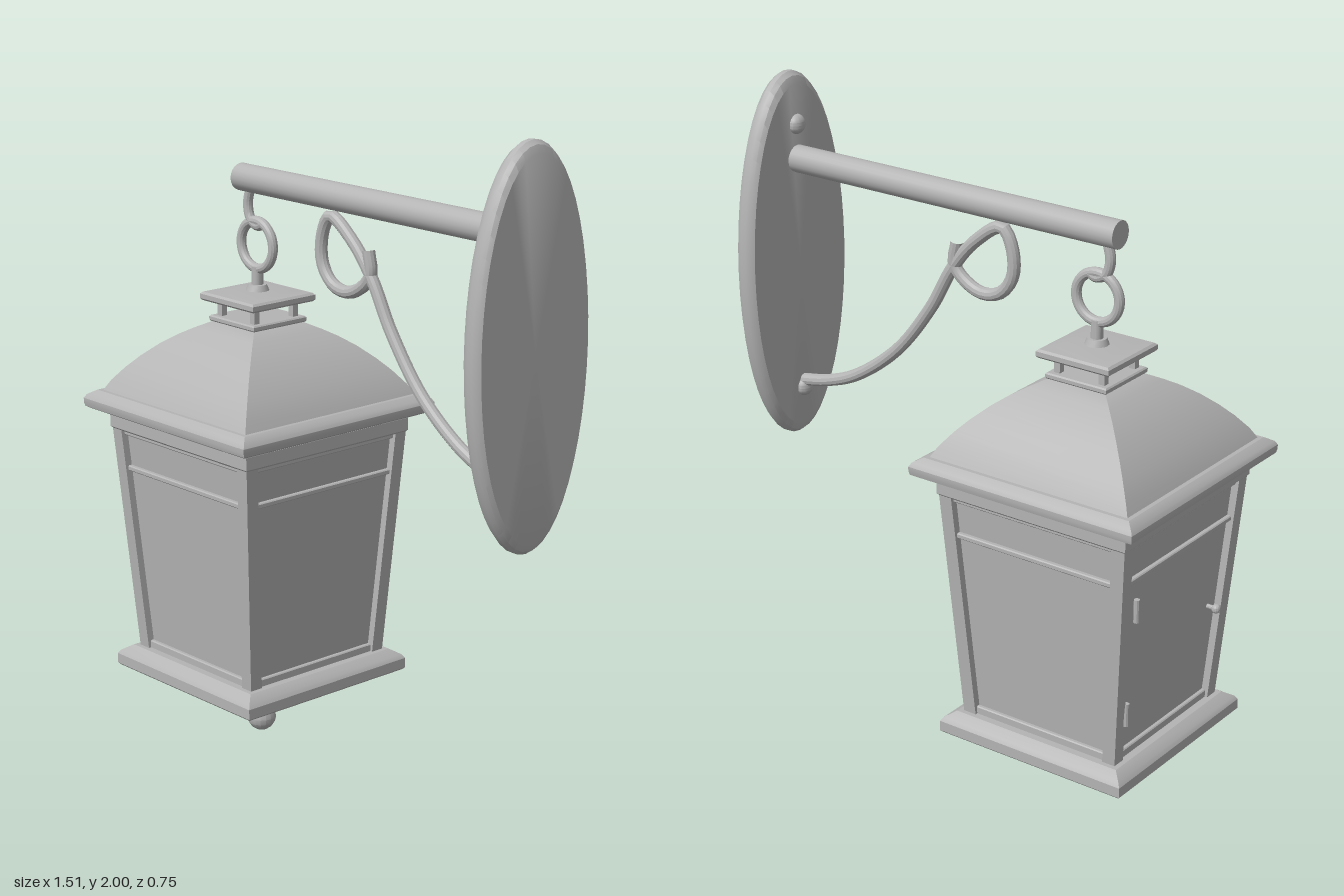
import * as THREE from 'three';
import { toCreasedNormals } from 'three/addons/utils/BufferGeometryUtils.js';

export function createModel() {
  const root = new THREE.Group();
  root.name = 'wallLantern';
  const metal = new THREE.MeshStandardMaterial({ color: 0xb4b4b4 });
  metal.name = 'grey metal';

  function add(parent, name, geometry, x = 0, y = 0, z = 0) {
    const mesh = new THREE.Mesh(toCreasedNormals(geometry, 0.5), metal);
    mesh.name = name;
    mesh.position.set(x, y, z);
    parent.add(mesh);
    return mesh;
  }
  // Square solid from a profile of [half width, height], bottom to top
  function squareLathe(profile) {
    const pts = profile.map(([h, y]) => new THREE.Vector2(h * Math.SQRT2, y));
    return new THREE.LatheGeometry(pts, 4, Math.PI / 4);
  }
  // Square slab with small bevels
  function slab(half, y0, y1, b = 0.006) {
    return squareLathe([[0, y0], [half - b, y0], [half, y0 + b], [half, y1 - b], [half - b, y1], [0, y1]]);
  }
  function tube(points, radius, segments) {
    const curve = new THREE.CatmullRomCurve3(points.map(([x, y, z = 0]) => new THREE.Vector3(x, y, z)));
    return new THREE.TubeGeometry(curve, segments, radius, 12, false);
  }

  // Oval wall plate with rounded rim
  const rim = [[0, 0], [0.94, 0], [0.98, 0.01], [1, 0.025], [1, 0.042], [0.98, 0.056], [0.94, 0.065], [0, 0.065]];
  const plate = new THREE.LatheGeometry(rim.map(([r, h]) => new THREE.Vector2(r, h)), 48);
  plate.rotateZ(-Math.PI / 2);
  plate.scale(1, 0.57, 0.218);
  add(root, 'wallPlate', plate, 0.69, 1.43, 0);
  for (const y of [1.845, 1.015]) {
    const screw = new THREE.SphereGeometry(0.03, 16, 10);
    screw.scale(0.85, 1, 1);
    add(root, 'plateScrew', screw, 0.69, y, 0);
  }

  // Arm and curled brace
  const arm = new THREE.CylinderGeometry(0.041, 0.041, 1.15, 20);
  arm.rotateZ(Math.PI / 2);
  add(root, 'arm', arm, 0.12, 1.74, 0);
  add(root, 'scrollBrace', tube([
    [0.7, 1.035], [0.6, 1.055], [0.485, 1.1], [0.325, 1.22], [0.195, 1.385], [0.115, 1.525],
    [0.035, 1.62], [-0.06, 1.68], [-0.095, 1.62], [-0.095, 1.54], [-0.055, 1.485], [0.005, 1.468],
    [0.065, 1.488], [0.11, 1.535], [0.1, 1.605]], 0.019, 70), 0, 0, 0);
  add(root, 'hook', tube([[-0.415, 1.71], [-0.425, 1.66], [-0.412, 1.618], [-0.38, 1.602], [-0.355, 1.612]], 0.015, 20));

  // Hanging lantern
  const lantern = new THREE.Group();
  lantern.name = 'lantern';
  lantern.position.x = -0.385;
  root.add(lantern);

  add(lantern, 'hangingRing', new THREE.TorusGeometry(0.072, 0.015, 12, 32), 0, 1.545, 0);
  add(lantern, 'ringStem', new THREE.CylinderGeometry(0.018, 0.018, 0.07, 16), 0, 1.445, 0);
  add(lantern, 'stemCollar', new THREE.CylinderGeometry(0.028, 0.036, 0.02, 16), 0, 1.416, 0);
  add(lantern, 'capPlate', squareLathe([[0, 1.375], [0.116, 1.375], [0.122, 1.381], [0.122, 1.395], [0.115, 1.401], [0.08, 1.405], [0, 1.41]]));
  add(lantern, 'capBase', slab(0.103, 1.312, 1.33, 0.004));
  for (const x of [-0.075, 0.075]) for (const z of [-0.075, 0.075]) {
    add(lantern, 'capPost', new THREE.BoxGeometry(0.02, 0.06, 0.02), x, 1.35, z);
  }

  // Domed square roof with eave
  add(lantern, 'roof', squareLathe([[0.337, 1.085], [0.315, 1.125], [0.283, 1.167], [0.25, 1.203],
    [0.21, 1.24], [0.17, 1.27], [0.135, 1.291], [0.095, 1.312], [0, 1.312]]));
  add(lantern, 'eave', squareLathe([[0, 1.035], [0.358, 1.035], [0.372, 1.043], [0.375, 1.055],
    [0.375, 1.068], [0.368, 1.08], [0.345, 1.094], [0.33, 1.094], [0, 1.094]]));
  add(lantern, 'eaveNeck', slab(0.305, 1.015, 1.04, 0.002));
  add(lantern, 'topFrame', slab(0.319, 0.975, 1.025));

  // Tapering panes, corner posts and cross bars
  add(lantern, 'panes', squareLathe([[0.243, 0.27], [0.292, 0.985]]));
  for (const sx of [-1, 1]) for (const sz of [-1, 1]) {
    const post = new THREE.BoxGeometry(0.042, 0.72, 0.042);
    const p = post.attributes.position;
    for (let i = 0; i < p.count; i++) {
      const offset = p.getY(i) > 0 ? 0.294 : 0.244;
      p.setXYZ(i, p.getX(i) + sx * offset, p.getY(i) + 0.63, p.getZ(i) + sz * offset);
    }
    add(lantern, 'cornerPost', post);
  }
  add(lantern, 'crossBar', slab(0.297, 0.847, 0.863, 0.003));
  add(lantern, 'topPaneBar', slab(0.303, 0.96, 0.978, 0.003));
  add(lantern, 'bottomPaneBar', slab(0.257, 0.27, 0.298, 0.003));

  // Door knob and hinges
  add(lantern, 'doorKnob', new THREE.SphereGeometry(0.014, 12, 8), -0.295, 0.587, 0.205);
  const knobStem = new THREE.CylinderGeometry(0.007, 0.007, 0.04, 10);
  knobStem.rotateZ(Math.PI / 2);
  add(lantern, 'knobStem', knobStem, -0.277, 0.587, 0.205);
  for (const [y, x] of [[0.765, -0.303], [0.43, -0.277]]) {
    add(lantern, 'doorHinge', new THREE.CylinderGeometry(0.009, 0.009, 0.07, 10), x, y, -0.23);
  }

  // Base, underside and finial
  add(lantern, 'base', squareLathe([[0, 0.208], [0.31, 0.208], [0.316, 0.214], [0.316, 0.245],
    [0.308, 0.257], [0.28, 0.275], [0, 0.275]]));
  add(lantern, 'underside', squareLathe([[0, 0.112], [0.085, 0.112], [0.115, 0.12], [0.2, 0.157], [0.305, 0.21]]));
  add(lantern, 'finialBall', new THREE.SphereGeometry(0.045, 16, 8), 0, 0.045, 0);

  return root;
}
